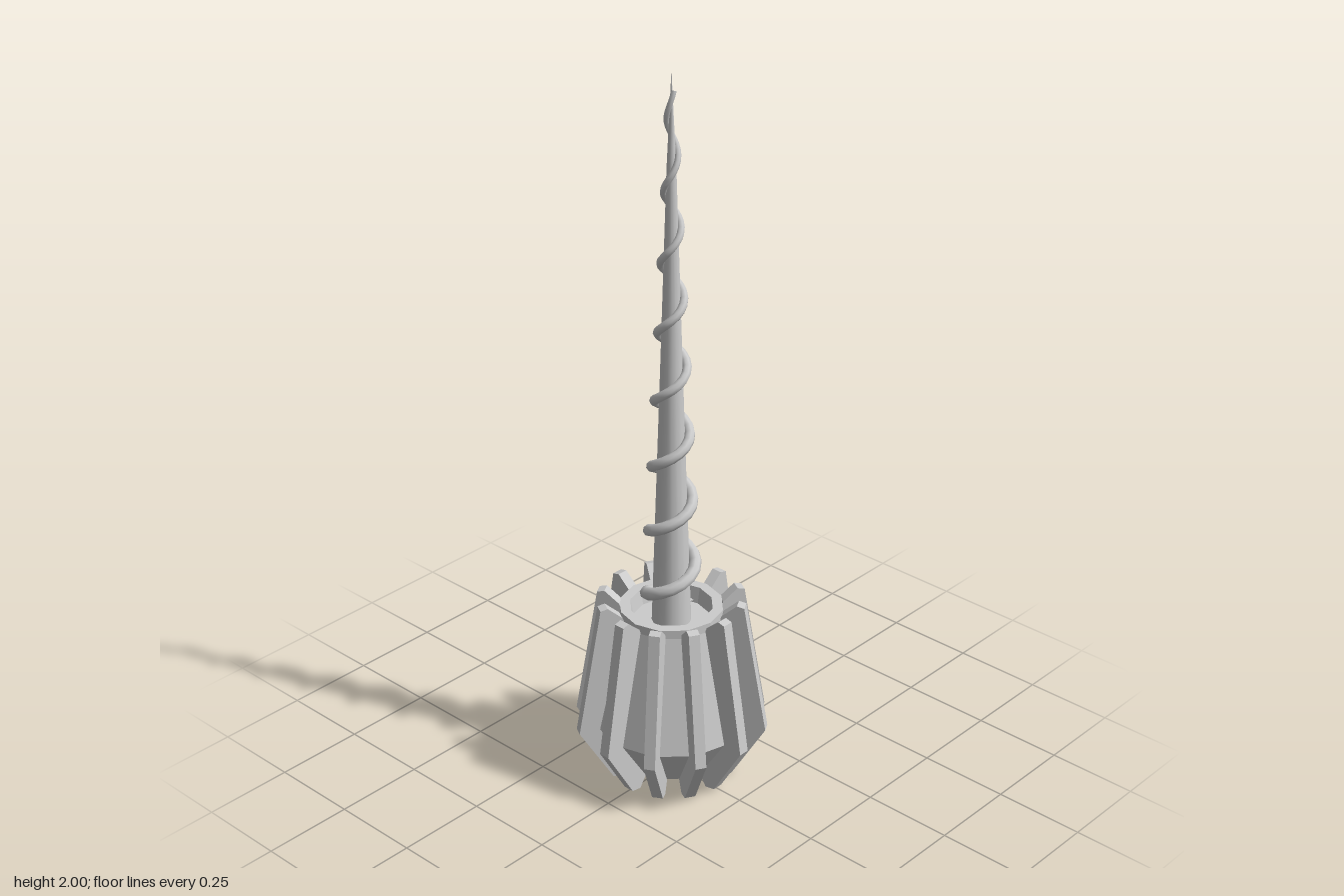
import * as THREE from 'three';

const flat = new THREE.MeshStandardMaterial({ color: 0xcccccc, flatShading: true });
const smooth = new THREE.MeshStandardMaterial({ color: 0xcccccc });

function add(parent, name, geometry, material) {
  const mesh = new THREE.Mesh(geometry, material);
  mesh.name = name;
  parent.add(mesh);
  return mesh;
}

const points = (list) => list.map(([x, y]) => new THREE.Vector2(x, y));

// Rising coil whose sweep and thickness both shrink towards the tip
class Coil extends THREE.Curve {
  getPoint(t, target = new THREE.Vector3()) {
    const y = 0.48 + 1.47 * t;
    const angle = (Math.PI * 2 * (y - 0.575)) / 0.19;
    const radius = 0.07 * (1 - t) + 0.009 * t;
    return target.set(Math.sin(angle) * radius, y, Math.cos(angle) * radius);
  }
  // Even steps in height keep the facets per turn constant
  getPointAt(t, target) { return this.getPoint(t, target); }
  getTangentAt(t, target) { return this.getTangent(t, target); }
}

function taperedTube(curve, steps, sides, radiusAt) {
  const geometry = new THREE.TubeGeometry(curve, steps, 1, sides);
  const position = geometry.attributes.position;
  const centre = new THREE.Vector3();
  const vertex = new THREE.Vector3();
  for (let i = 0; i < position.count; i++) {
    const t = Math.floor(i / (sides + 1)) / steps;
    curve.getPoint(t, centre);
    vertex.fromBufferAttribute(position, i).sub(centre).multiplyScalar(radiusAt(t)).add(centre);
    position.setXYZ(i, vertex.x, vertex.y, vertex.z);
  }
  geometry.computeBoundingSphere();
  return geometry;
}

export function createModel() {
  const model = new THREE.Group();
  model.name = 'spiralSpire';

  // Twelve-sided base with a shallow recess in its top
  const baseProfile = points([
    [0, 0.035], [0.125, 0.035], [0.21, 0.165], [0.14, 0.49],
    [0.14, 0.515], [0.112, 0.515], [0.104, 0.47], [0, 0.47],
  ]);
  add(model, 'base', new THREE.LatheGeometry(baseProfile, 12), flat);

  // Fins standing on the corners of the base
  const finShape = new THREE.Shape(points([
    [0.1, 0.06], [0.14, 0], [0.17, 0.005], [0.263, 0.16],
    [0.2, 0.535], [0.18, 0.54], [0.14, 0.505], [0.13, 0.48],
  ]));
  const finGeometry = new THREE.ExtrudeGeometry(finShape, { depth: 0.03, bevelEnabled: false });
  finGeometry.translate(0, 0, -0.015);
  const fins = new THREE.Group();
  fins.name = 'fins';
  model.add(fins);
  for (let i = 0; i < 12; i++) {
    add(fins, 'fin', finGeometry, flat).rotation.y = (i * Math.PI) / 6;
  }

  // Slender spike and the coil wound around it
  const spikeProfile = points([[0.053, 0.46], [0.029, 1.2], [0.012, 1.75], [0, 2]]);
  add(model, 'spike', new THREE.LatheGeometry(spikeProfile, 16), smooth);
  const coil = taperedTube(new Coil(), 124, 8, (t) => 0.018 * (1 - t) + 0.007 * t);
  add(model, 'coil', coil, smooth);

  return model;
}
